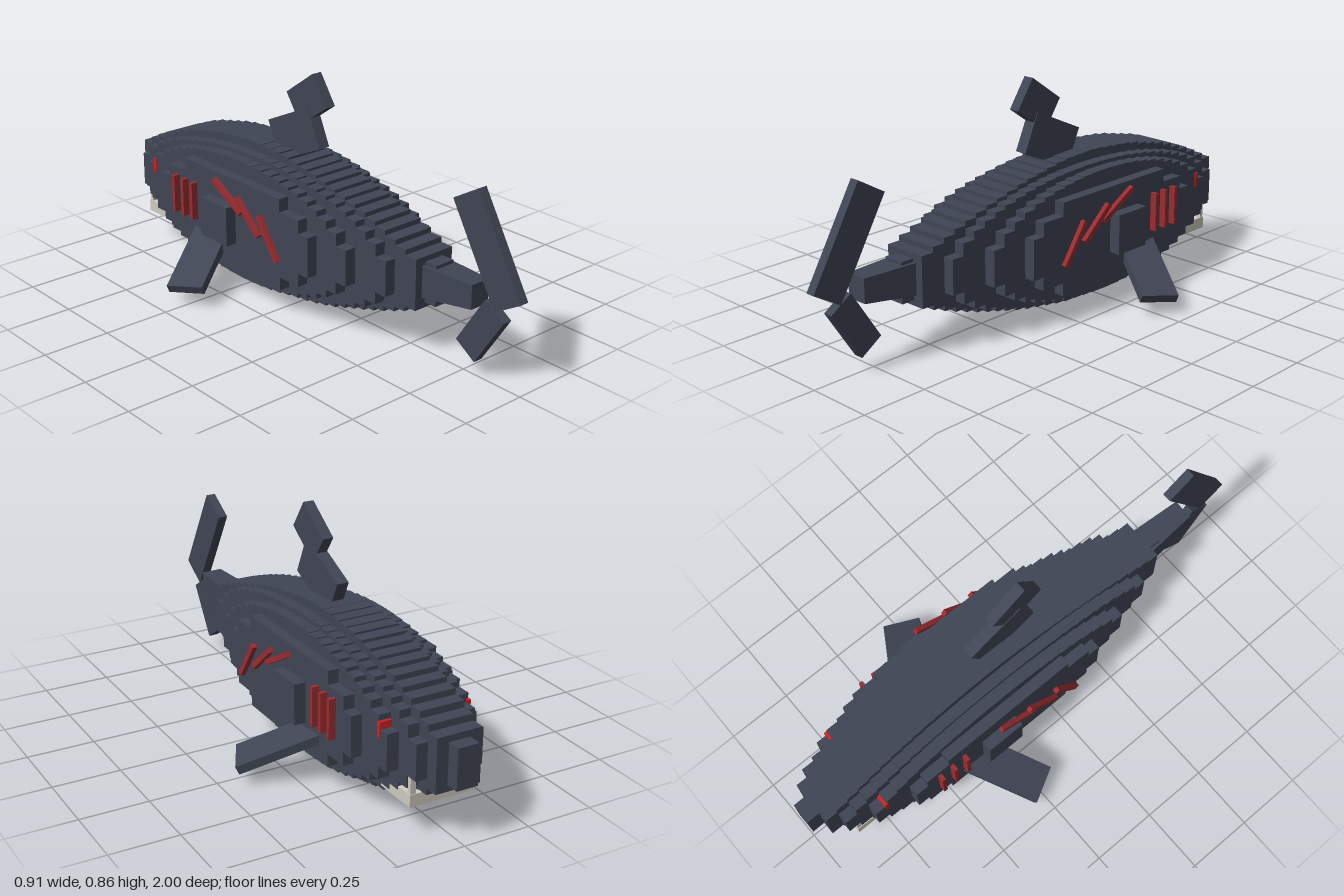
import * as THREE from 'three';

const mat = (name, color) => Object.assign(new THREE.MeshStandardMaterial({ color }), { name });

export function createModel() {
  const slate = mat('slate skin', 0x404554);
  const darkRed = mat('dark red scars', 0x992c30);
  const brightRed = mat('bright red eye', 0xd02222);
  const bone = mat('bone jaw', 0xcfcbc0);

  const model = new THREE.Group();
  model.name = 'blockShark';

  function box(name, material, size, pos, rotX = 0, parent = model) {
    const mesh = new THREE.Mesh(new THREE.BoxGeometry(...size), material);
    mesh.name = name;
    mesh.position.set(...pos);
    mesh.rotation.x = rotX;
    parent.add(mesh);
    return mesh;
  }

  // Half height of the body along z (nose at -1)
  const midY = 0.2825, step = 0.05;
  const profile = [[-1, 0.0625], [-0.9, 0.11], [-0.8, 0.16], [-0.65, 0.218], [-0.45, 0.262], [-0.25, 0.28],
    [-0.1, 0.274], [0.1, 0.24], [0.3, 0.19], [0.44, 0.145], [0.65, 0.065]];
  const bodyHeight = (z) => {
    const i = Math.max(1, profile.findIndex((p) => p[0] >= z));
    const [a, b] = [profile[i - 1], profile[i]];
    return THREE.MathUtils.mapLinear(z, a[0], b[0], a[1], b[1]);
  };

  // Body: stepped slabs nested across x, wider slabs being shorter and lower
  const layers = [
    { w: 0.04, z0: -1, z1: 0.65 },
    { w: 0.084, z0: -0.95, z1: 0.6 },
    { w: 0.126, z0: -0.9, z1: 0.5, h: 0.245 },
    { w: 0.17, z0: -0.8, z1: 0.35, h: 0.23 },
    { w: 0.211, z0: -0.65, z1: 0.2, h: 0.19, snap: 0.05 },
    { w: 0.254, z0: -0.35, z1: -0.2, h: 0.08, snap: 0.05 },
  ];
  const body = new THREE.Group();
  body.name = 'body';
  model.add(body);
  for (const { w, z0, z1, h, snap } of layers) {
    const count = Math.round((z1 - z0) / step);
    const top = [], bottom = [];
    for (let i = 0; i < count; i++) {
      const z = z0 + i * step, mid = z + step / 2;
      let half = bodyHeight(mid);
      if (h) {
        const t = (2 * (mid - z0)) / (z1 - z0) - 1;
        half = Math.min(half, h * Math.sqrt(1 - t * t));
      }
      if (snap) half = Math.max(0, Math.round((half - 0.025) / snap)) * snap + 0.025;
      top.push([z, midY + half], [z + step, midY + half]);
      bottom.unshift([z + step, midY - half], [z, midY - half]);
    }
    const shape = new THREE.Shape([...top, ...bottom].map((p) => new THREE.Vector2(...p)));
    const geo = new THREE.ExtrudeGeometry(shape, { depth: 2 * w, bevelEnabled: false });
    geo.translate(0, 0, -w).rotateY(-Math.PI / 2);
    const slab = new THREE.Mesh(geo, slate);
    slab.name = 'bodySlab';
    body.add(slab);
  }

  // Tail stock: box narrowing toward the rear
  const stock = box('tailStock', slate, [1, 1, 0.26], [0, 0, 0.68]);
  const p = stock.geometry.attributes.position;
  for (let i = 0; i < p.count; i++) {
    const rear = p.getZ(i) > 0;
    p.setX(i, Math.sign(p.getX(i)) * (rear ? 0.04 : 0.058));
    p.setY(i, p.getY(i) > 0 ? 0.345 : rear ? 0.257 : 0.222);
  }
  stock.geometry.computeVertexNormals();

  // Tail and dorsal fins
  box('upperTailFin', slate, [0.036, 0.39, 0.125], [0, 0.47, 0.845], -0.53);
  box('lowerTailFin', slate, [0.036, 0.22, 0.1], [0, 0.18, 0.83], 0.575);
  box('dorsalFinBase', slate, [0.046, 0.153, 0.24], [0, 0.615, -0.094], -0.43);
  box('dorsalFinTip', slate, [0.04, 0.13, 0.17], [0, 0.76, -0.027], -0.605);

  // Lower jaw
  box('lowerJaw', bone, [0.25, 0.045, 0.17], [0, 0.133, -0.785]);

  for (const s of [1, -1]) {
    // Swept pectoral fin: span, chord and thickness axes
    const span = new THREE.Vector3(s * 0.235, -0.12, 0.14).normalize();
    const chord = new THREE.Vector3(-s * 0.075, 0.02, 0.12);
    chord.addScaledVector(span, -chord.dot(span)).normalize();
    const up = new THREE.Vector3().crossVectors(chord, span);
    const tip = new THREE.Vector3(s * 0.415, 0.07, -0.24);
    const fin = box('pectoralFin', slate, [0.36, 0.033, 0.142], [0, 0, 0]);
    fin.quaternion.setFromRotationMatrix(new THREE.Matrix4().makeBasis(span, up, chord));
    fin.position.copy(tip).addScaledVector(span, -0.18);

    // Gill slits
    for (const z of [-0.435, -0.49, -0.545]) box('gill', darkRed, [0.03, 0.146, 0.015], [s * 0.222, 0.308, z]);

    // Slanted scars, each from a low rear point to a high front point
    for (const [z0, y0, z1, y1] of [[0.07, 0.232, -0.03, 0.378], [-0.03, 0.298, -0.155, 0.408], [-0.13, 0.354, -0.285, 0.441]]) {
      box('scar', darkRed, [0.018, 0.02, Math.hypot(z1 - z0, y1 - y0)],
        [s * 0.239, (y0 + y1) / 2, (z0 + z1) / 2], Math.atan2(y1 - y0, z0 - z1));
    }

    // Eye and corner tooth
    box('eye', brightRed, [0.045, 0.055, 0.016], [s * 0.151, 0.348, -0.753]);
    box('tooth', bone, [0.02, 0.065, 0.016], [s * 0.112, 0.185, -0.86]);
  }

  return model;
}
